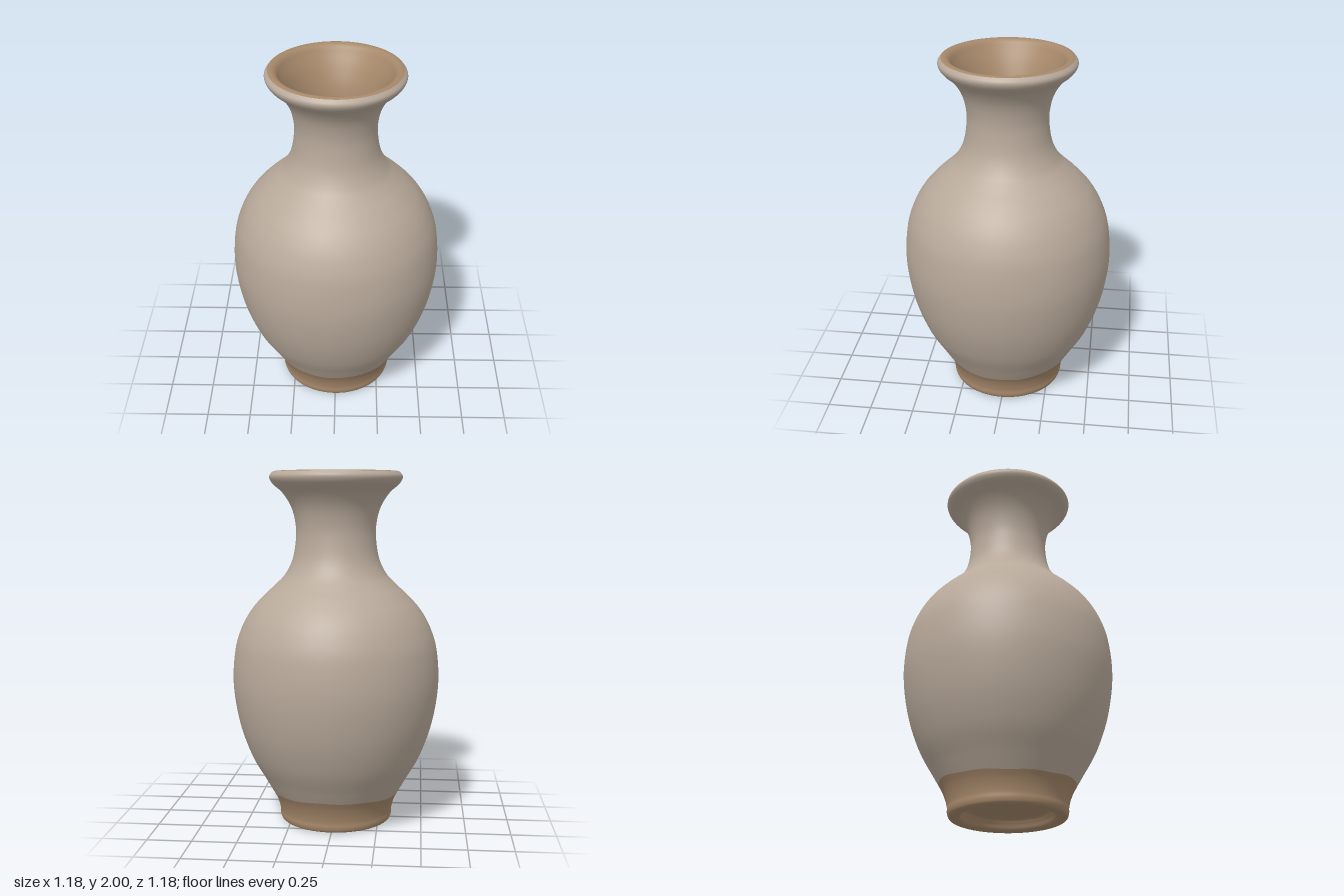
import * as THREE from 'three';

const SEGMENTS = 96;
const SEAM = 0.175; // mean height of the glaze edge above the foot

// Smooth profile through [radius, height] pairs
function profile(pairs, samples) {
  const curve = new THREE.SplineCurve(pairs.map(([r, y]) => new THREE.Vector2(r, y)));
  return curve.getPoints(samples).map((p) => new THREE.Vector2(Math.max(p.x, 0), p.y));
}

// Slide vertices near the seam along the wall so the dipped glaze edge is uneven
function waveSeam(geometry) {
  const pos = geometry.attributes.position;
  for (let i = 0; i < pos.count; i++) {
    const x = pos.getX(i), y = pos.getY(i), z = pos.getZ(i);
    const r = Math.hypot(x, z);
    if (r < 0.3) continue;
    const a = Math.atan2(x, z);
    const wave = 0.01 * Math.cos(2 * a) - 0.004 * Math.cos(a) + 0.002 * Math.sin(9 * a);
    const dy = wave * Math.exp(-(((y - SEAM) / 0.05) ** 2));
    const k = (r + 0.5 * dy) / r;
    pos.setXYZ(i, x * k, y + dy, z * k);
  }
  return geometry;
}

export function createModel() {
  const glaze = new THREE.MeshStandardMaterial({ color: 0xb8a99a });
  glaze.name = 'greyGlaze';
  const clay = new THREE.MeshStandardMaterial({ color: 0xa6886a });
  clay.name = 'bareClay';

  const vase = new THREE.Group();
  vase.name = 'vase';
  const add = (name, points, material) => {
    const mesh = new THREE.Mesh(waveSeam(new THREE.LatheGeometry(points, SEGMENTS)), material);
    mesh.name = name;
    vase.add(mesh);
  };

  // Foot: recessed underside, standing ring and unglazed lower wall
  add('foot', profile([
    [0, 0.07], [0.12, 0.07], [0.215, 0.063], [0.24, 0.04], [0.255, 0.01], [0.275, 0.0],
    [0.3, 0.0], [0.317, 0.008], [0.325, 0.03], [0.326, 0.06], [0.335, 0.1], [0.35, 0.14], [0.369, SEAM],
  ], 72), clay);

  // Glazed outside: belly, shoulder, neck and flared lip
  add('body', profile([
    [0.369, SEAM], [0.412, 0.25], [0.49, 0.39], [0.555, 0.58], [0.588, 0.8], [0.575, 1.0],
    [0.535, 1.13], [0.477, 1.23], [0.405, 1.31], [0.34, 1.37], [0.285, 1.43], [0.243, 1.52],
    [0.225, 1.64], [0.231, 1.73], [0.255, 1.81], [0.3, 1.88], [0.35, 1.925], [0.37, 1.953],
    [0.372, 1.975], [0.356, 1.996],
  ], 130), glaze);

  // Unglazed lip top and hollow inside down to the floor
  add('inside', profile([
    [0.356, 1.996], [0.335, 2.0], [0.312, 1.988], [0.29, 1.955], [0.25, 1.89], [0.21, 1.8],
    [0.187, 1.7], [0.186, 1.6], [0.21, 1.49], [0.27, 1.38], [0.37, 1.28], [0.46, 1.17],
    [0.52, 1.0], [0.535, 0.8], [0.505, 0.58], [0.435, 0.37], [0.34, 0.2], [0.23, 0.14],
    [0.1, 0.12], [0, 0.12],
  ], 110), clay);

  return vase;
}
